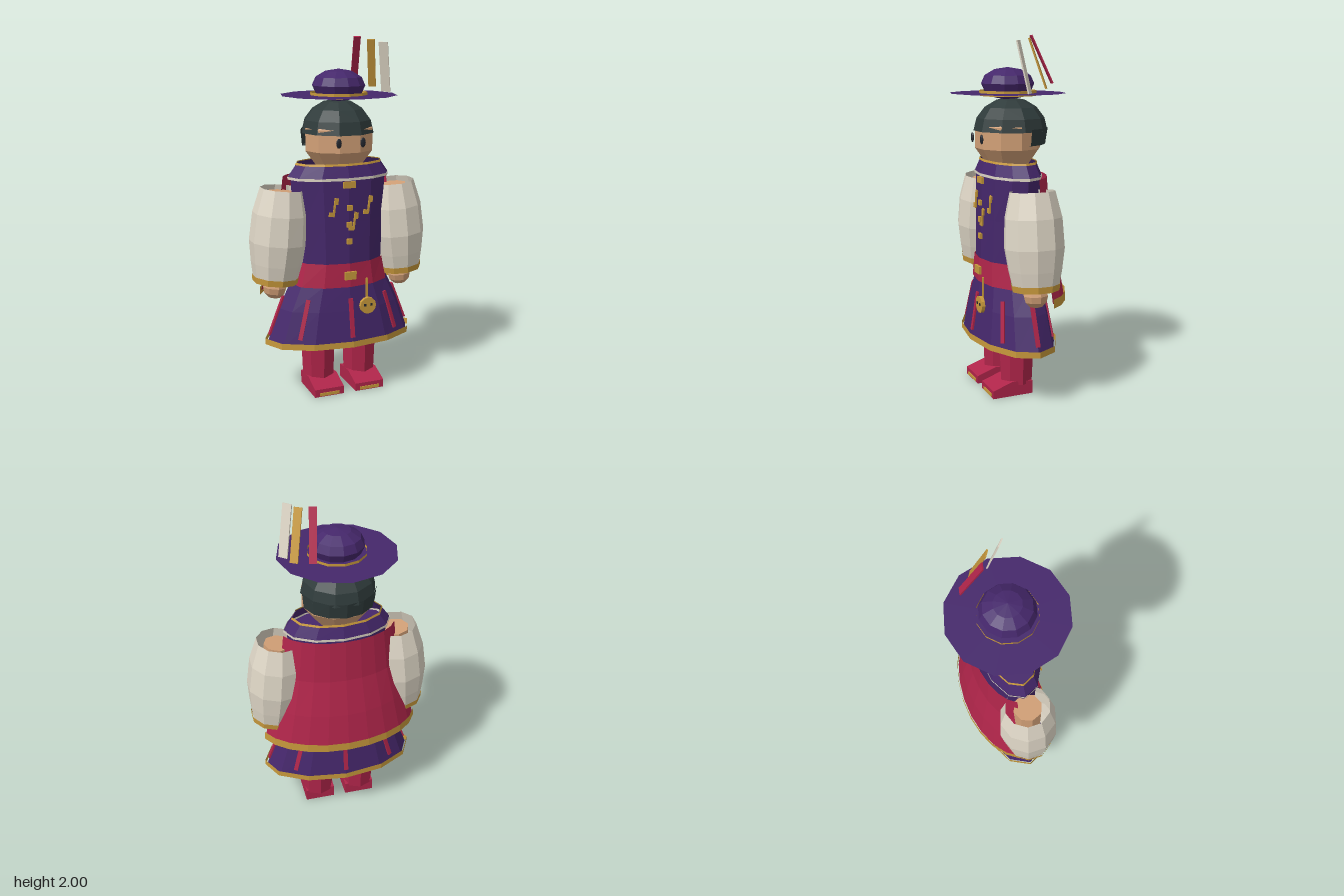
import * as THREE from 'three';

const mat = (name, color) => {
  const m = new THREE.MeshStandardMaterial({ color, flatShading: true, side: THREE.DoubleSide });
  m.name = name;
  return m;
};

export function createModel() {
  const root = new THREE.Group();
  root.name = 'figure';
  const purple = mat('purple cloth', 0x45276b), crimson = mat('crimson cloth', 0xb0254a);
  const gold = mat('gold trim', 0xc8993c), cream = mat('cream linen', 0xded6c6);
  const skin = mat('skin', 0xd2a077), hair = mat('dark hair', 0x2f3b3b), ink = mat('ink', 0x23272f);

  const add = (name, geo, m, pos = [0, 0, 0], parent = root) => {
    const mesh = new THREE.Mesh(geo, m);
    mesh.name = name;
    mesh.position.set(...pos);
    parent.add(mesh);
    return mesh;
  };
  const box = (name, size, m, pos, parent) => add(name, new THREE.BoxGeometry(...size), m, pos, parent);

  // Elliptical shell through sections [y, rx, rz], listed from top to bottom
  const loft = (sections, n = 12, start = 0, len = Math.PI * 2) => {
    const g = new THREE.CylinderGeometry(1, 1, 1, n, sections.length - 1, true, start, len);
    const p = g.attributes.position;
    for (let i = 0; i < p.count; i++) {
      const [y, rx, rz] = sections[Math.round((0.5 - p.getY(i)) * (sections.length - 1))];
      p.setXYZ(i, p.getX(i) * rx, y, p.getZ(i) * rz);
    }
    g.computeVertexNormals();
    return g;
  };

  // Flat bar between two points, its width following the given direction
  const bar = (name, from, to, side, width, thick, m) => {
    const a = new THREE.Vector3(...from), b = new THREE.Vector3(...to);
    const y = b.clone().sub(a), length = y.length();
    y.normalize();
    const z = new THREE.Vector3(...side).cross(y).normalize();
    const x = y.clone().cross(z);
    const mesh = box(name, [width, length, thick], m);
    mesh.quaternion.setFromRotationMatrix(new THREE.Matrix4().makeBasis(x, y, z));
    mesh.position.copy(a.add(b).multiplyScalar(0.5));
  };

  // Head and hair
  const head = add('head', new THREE.SphereGeometry(0.2, 10, 5), skin, [0, 1.45, 0]);
  head.scale.set(1.03, 1, 0.95);
  const cap = add('hairCap', new THREE.SphereGeometry(0.207, 10, 4, 0, Math.PI * 2, 0, 1.55), hair, [0, 1.48, -0.018]);
  cap.scale.set(1, 0.9, 1);
  add('hairBack', loft([[1.5, 0.208, 0.207], [1.41, 0.2, 0.192], [1.41, 0.15, 0.14]], 6, Math.PI * 0.56, Math.PI * 0.88),
    hair, [0, 0, -0.018]);

  // Hat with open band, flat brim and three feathers
  add('hatCrown', new THREE.SphereGeometry(0.148, 12, 6), purple, [0, 1.742, 0]).scale.y = 0.6;
  add('hatBand', loft([[1.705, 0.16, 0.16], [1.675, 0.16, 0.16]]), gold);
  add('hatBrim', new THREE.CircleGeometry(0.325, 12).rotateX(-Math.PI / 2), purple, [0, 1.69, 0]);
  bar('crimsonFeather', [0.17, 1.745, -0.19], [0.142, 2.0, -0.075], [0.97, 0, 0.2], 0.04, 0.008, crimson);
  bar('goldFeather', [0.253, 1.72, -0.115], [0.207, 1.985, -0.035], [0.85, 0, 0.52], 0.043, 0.008, gold);
  bar('creamFeather', [0.288, 1.697, -0.004], [0.246, 1.972, 0.046], [0.75, 0, 0.65], 0.052, 0.008, cream);

  // Collar, torso and belt
  add('collar', loft([[1.32, 0.25, 0.135], [1.25, 0.3, 0.16]]), purple);
  add('collarTrim', loft([[1.325, 0.252, 0.138], [1.313, 0.258, 0.142]]), gold);
  add('collarPiping', loft([[1.25, 0.303, 0.164], [1.235, 0.303, 0.164]]), cream);
  add('torso', loft([[1.245, 0.005, 0.005], [1.245, 0.285, 0.155], [1, 0.27, 0.16], [0.76, 0.26, 0.165]]), purple);
  add('belt', loft([[0.77, 0.265, 0.175], [0.635, 0.295, 0.182]]), crimson);
  box('buckle', [0.068, 0.045, 0.015], gold, [0, 0.702, 0.182]);

  // Flared skirt with hem and eight stripes
  add('skirt', loft([[0.64, 0.295, 0.168], [0.5, 0.365, 0.194], [0.3, 0.435, 0.224]]), purple);
  add('skirtHem', loft([[0.33, 0.447, 0.233], [0.295, 0.447, 0.233]]), gold);
  for (let i = 0; i < 8; i++) {
    const a = i * Math.PI / 4, f = i % 2 ? 0.975 : 1.005;
    const at = (y, rx, rz) => [Math.sin(a) * rx * f, y, Math.cos(a) * rz * f];
    bar('skirtStripe', at(0.35, 0.42, 0.22), at(0.57, 0.335, 0.185),
      [Math.cos(a) * 0.38, 0, -Math.sin(a) * 0.2], 0.024, 0.01, crimson);
  }

  // Cape around the back
  const arc = [10, Math.PI * 0.585, Math.PI * 0.83];
  add('cape', loft([[1.245, 0.325, 0.19], [1.0, 0.355, 0.207], [0.79, 0.41, 0.25], [0.59, 0.46, 0.28]], ...arc), crimson);
  add('capeHem', loft([[0.615, 0.465, 0.287], [0.565, 0.467, 0.287]], ...arc), gold);

  // Buttons
  box('topButton', [0.07, 0.036, 0.014], gold, [0, 1.213, 0.163]);
  for (const y of [1.085, 0.99, 0.895]) box('button', [0.03, 0.03, 0.014], gold, [0, y, 0.167]);

  // Small note-shaped embroidery
  for (const [x, y] of [[-0.09, 1.095], [0.025, 1.01], [0.115, 1.095]]) {
    const note = new THREE.Group();
    note.name = 'noteOrnament';
    note.position.set(x, y, 0.167 - Math.abs(x) * 0.1);
    box('noteStem', [0.01, 0.1, 0.009], gold, [0.005, 0, 0], note);
    box('noteHead', [0.03, 0.025, 0.009], gold, [-0.008, -0.043, 0], note);
    box('noteFlag', [0.014, 0.035, 0.009], gold, [0.016, 0.03, 0], note);
    note.rotation.z = -0.12;
    root.add(note);
  }

  // Hanging medallion
  box('medallionCord', [0.01, 0.12, 0.009], gold, [0.095, 0.62, 0.19]);
  add('medallion', new THREE.CylinderGeometry(0.048, 0.048, 0.02, 12).rotateX(Math.PI / 2), gold, [0.095, 0.525, 0.205]);

  for (const s of [-1, 1]) {
    // Eyes and medallion dots
    const eye = add('eye', new THREE.SphereGeometry(0.016, 8, 6), ink, [s * 0.07, 1.445, 0.183]);
    eye.scale.set(1, 1.7, 0.5);
    box('medallionDot', [0.013, 0.014, 0.004], ink, [0.095 + s * 0.019, 0.53, 0.216]);

    // Arm with open puffed sleeve
    const arm = new THREE.Group();
    arm.name = s > 0 ? 'leftArm' : 'rightArm';
    arm.position.set(s * 0.357, 0.93, 0);
    arm.rotation.z = s * 0.09;
    root.add(arm);
    add('sleeve', loft([[0.26, 0.122, 0.125], [0.12, 0.155, 0.158], [-0.04, 0.163, 0.166],
      [-0.16, 0.145, 0.148], [-0.26, 0.125, 0.127]], 10), cream, [0, 0, 0], arm);
    add('cuff', loft([[-0.235, 0.134, 0.136], [-0.27, 0.129, 0.13]], 10), gold, [0, 0, 0], arm);
    add('armCore', new THREE.CylinderGeometry(0.08, 0.06, 0.5, 8), skin, [0, -0.01, 0], arm);
    add('hand', new THREE.SphereGeometry(0.07, 8, 6), skin, [0, -0.3, 0], arm);

    // Leg and wedge shoe
    add('leg', loft([[0.5, 0.104, 0.104], [0.29, 0.104, 0.104], [0.06, 0.094, 0.094], [0.06, 0.01, 0.01]], 8),
      crimson, [s * 0.127, 0, 0]);
    const profile = new THREE.Shape([[0.175, 0], [0.175, 0.045], [0.06, 0.085], [-0.065, 0.075], [-0.065, 0]]
      .map(([z, y]) => new THREE.Vector2(z, y)));
    const shoe = new THREE.ExtrudeGeometry(profile, { depth: 0.175, bevelEnabled: false });
    shoe.translate(0, 0, -0.0875).rotateY(-Math.PI / 2);
    add('shoe', shoe, crimson, [s * 0.124, 0, 0]);
    box('toePlate', [0.12, 0.018, 0.006], gold, [s * 0.124, 0.014, 0.176]);
  }
  return root;
}
